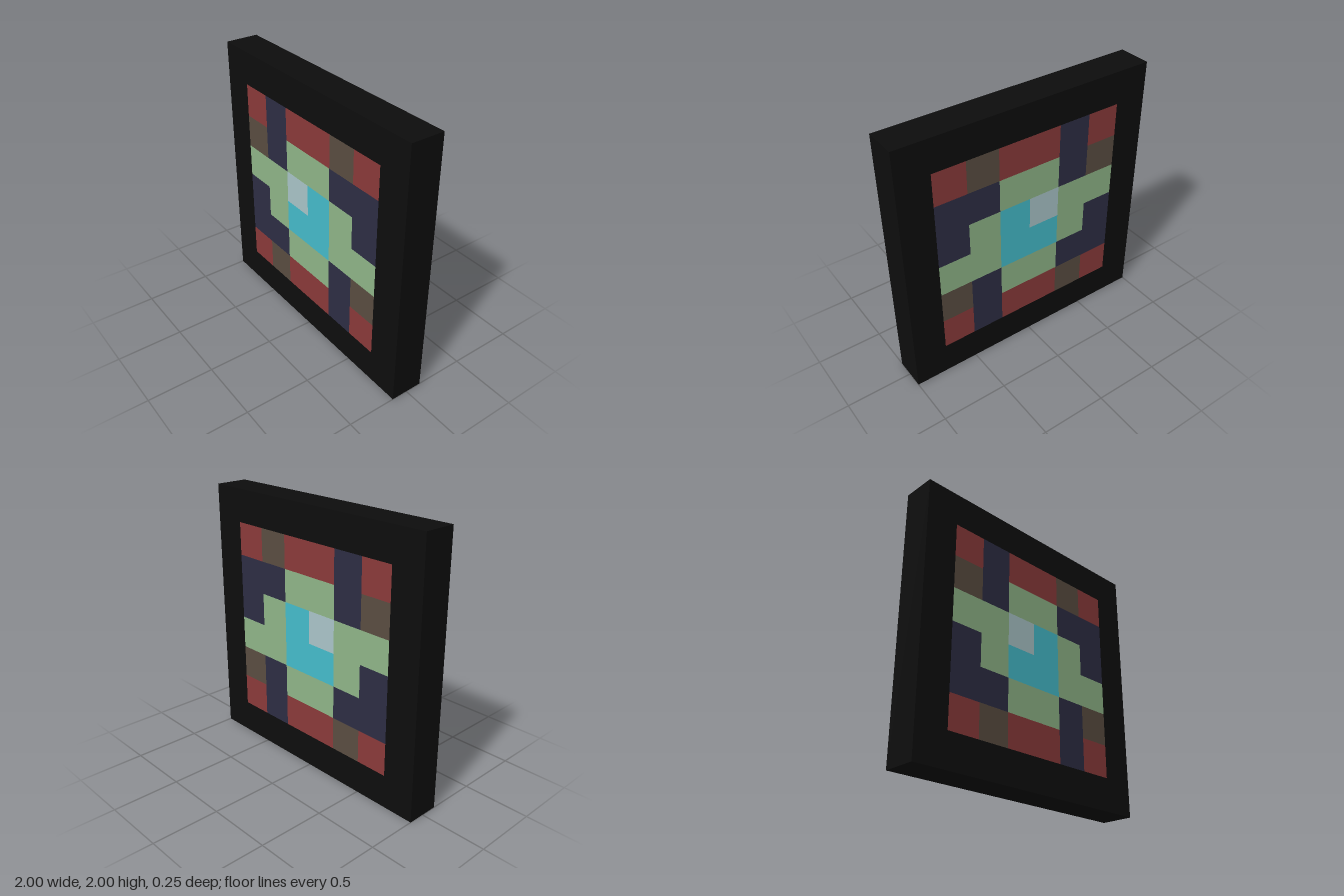
import * as THREE from 'three';

const DEPTH = 0.25, CELL = 0.25, HALF = 0.75;

const paint = (name, color) => {
  const m = new THREE.MeshStandardMaterial({ color });
  m.name = name;
  return m;
};

// Tile pattern, top row first, seen from the front
const PATTERN = ['RNRRBR', 'BNGGNN', 'GGLCGN', 'NGCCGG', 'NNGGNB', 'RBRRNR'];

export function createModel() {
  const model = new THREE.Group();
  model.name = 'framedMosaicPanel';

  const black = paint('black', 0x0d0d0d);
  const tiles = {
    R: ['redTile', paint('brick red', 0x8b3a3a)],
    N: ['navyTile', paint('dark navy', 0x2d2d44)],
    B: ['brownTile', paint('brown', 0x5a4d41)],
    G: ['greenTile', paint('sage green', 0x8fb588)],
    C: ['cyanTile', paint('cyan', 0x45bccb)],
    L: ['highlightTile', paint('pale blue', 0xaac5c9)],
  };

  // Square border with an open centre
  const outline = new THREE.Shape([[-1, 0], [1, 0], [1, 2], [-1, 2]].map(p => new THREE.Vector2(...p)));
  outline.holes.push(new THREE.Path(
    [[-HALF, 0.25], [-HALF, 1.75], [HALF, 1.75], [HALF, 0.25]].map(p => new THREE.Vector2(...p))));
  const frameGeometry = new THREE.ExtrudeGeometry(outline, { depth: DEPTH, bevelEnabled: false });
  frameGeometry.translate(0, 0, -DEPTH / 2);
  const frame = new THREE.Mesh(frameGeometry, black);
  frame.name = 'frame';
  model.add(frame);

  // Full-depth tiles flush with the frame; equal neighbours in a row become one block
  PATTERN.forEach((row, r) => {
    for (let start = 0; start < row.length;) {
      let end = start + 1;
      while (row[end] === row[start]) end++;
      const [name, material] = tiles[row[start]];
      const tile = new THREE.Mesh(new THREE.BoxGeometry((end - start) * CELL, CELL, DEPTH), material);
      tile.name = name;
      tile.position.set(-HALF + (start + end) / 2 * CELL, 1.75 - (r + 0.5) * CELL, 0);
      model.add(tile);
      start = end;
    }
  });

  return model;
}
